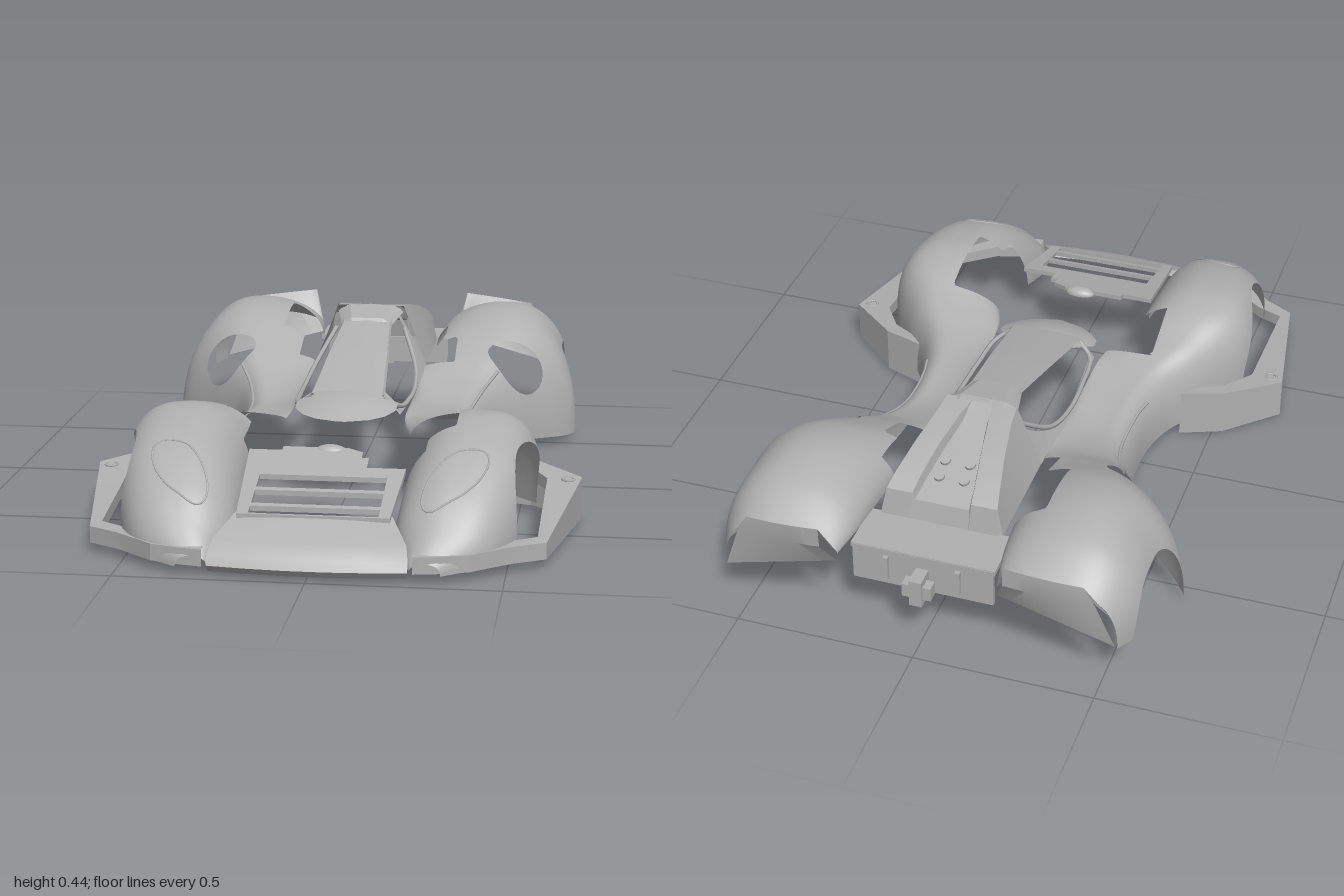
import * as THREE from 'three';
import { mergeVertices, toCreasedNormals } from 'three/addons/utils/BufferGeometryUtils.js';

const bodyGrey = new THREE.MeshStandardMaterial({ color: 0xb0b0b0, side: THREE.DoubleSide });

// Surface through rows of [x, y, z] points
function loft(rows, crease = 0.6) {
  const n = rows[0].length, idx = [];
  for (let i = 0; i < rows.length - 1; i++)
    for (let j = 0; j < n - 1; j++) {
      const a = i * n + j, b = a + n;
      idx.push(a, b, a + 1, b, b + 1, a + 1);
    }
  const g = new THREE.BufferGeometry();
  g.setAttribute('position', new THREE.Float32BufferAttribute(rows.flat(2), 3));
  g.setIndex(idx);
  return toCreasedNormals(g, crease);
}

// Keep only the part of a surface where keep(x, y, z) > 0
function cut(geo, keep) {
  const p = geo.getAttribute('position'), out = [];
  for (let i = 0; i < p.count; i += 3) {
    const tri = [0, 1, 2].map(k => new THREE.Vector3().fromBufferAttribute(p, i + k));
    const val = tri.map(v => keep(v.x, v.y, v.z)), poly = [];
    for (let k = 0; k < 3; k++) {
      const m = (k + 1) % 3;
      if (val[k] > 0) poly.push(tri[k]);
      if (val[k] > 0 !== val[m] > 0) poly.push(tri[k].clone().lerp(tri[m], val[k] / (val[k] - val[m])));
    }
    for (let k = 1; k < poly.length - 1; k++)
      for (const v of [poly[0], poly[k], poly[k + 1]]) out.push(v.x, v.y, v.z);
  }
  const g = new THREE.BufferGeometry();
  g.setAttribute('position', new THREE.Float32BufferAttribute(out, 3));
  const merged = mergeVertices(g, 1e-5);
  merged.computeVertexNormals();
  return merged;
}

// Side shell stations: z, inner x, inner y, crest x, crest y, outer x, bottom y, roundness
const stations = [
  [0.965, 0.26, 0.03, 0.30, 0.05, 0.34, 0.02, 0.8],
  [0.91, 0.24, 0.04, 0.34, 0.12, 0.44, 0.03, 0.8],
  [0.82, 0.21, 0.06, 0.35, 0.205, 0.505, 0.04, 0.75],
  [0.68, 0.21, 0.10, 0.37, 0.285, 0.55, 0.06, 0.7],
  [0.50, 0.22, 0.16, 0.38, 0.325, 0.57, 0.06, 0.65],
  [0.38, 0.22, 0.20, 0.38, 0.315, 0.56, 0.05, 0.65],
  [0.26, 0.18, 0.22, 0.36, 0.265, 0.485, 0.04, 0.75],
  [0.14, 0.165, 0.23, 0.30, 0.225, 0.395, 0.04, 0.8],
  [0.00, 0.165, 0.235, 0.28, 0.205, 0.355, 0.04, 0.85],
  [-0.16, 0.165, 0.24, 0.28, 0.20, 0.36, 0.04, 0.85],
  [-0.30, 0.165, 0.25, 0.31, 0.235, 0.40, 0.04, 0.85],
  [-0.42, 0.17, 0.26, 0.35, 0.30, 0.50, 0.03, 0.9],
  [-0.56, 0.18, 0.27, 0.38, 0.37, 0.62, 0.02, 0.92],
  [-0.70, 0.19, 0.27, 0.39, 0.395, 0.61, 0.06, 0.9],
  [-0.84, 0.20, 0.27, 0.39, 0.372, 0.59, 0.12, 0.85],
  [-0.95, 0.22, 0.26, 0.38, 0.305, 0.545, 0.14, 0.8],
];

function station(s) {
  const n = stations.length - 1, i = Math.min(Math.floor(s), n - 1), t = s - i;
  const at = k => stations[Math.max(0, Math.min(n, k))];
  return at(i).map((b, k) => {
    const a = at(i - 1)[k], c = at(i + 1)[k], d = at(i + 2)[k];
    return b + 0.5 * t * (c - a + t * (2 * a - 5 * b + 4 * c - d + t * (3 * (b - c) + d - a)));
  });
}

// Point on the shell: u runs from inner edge (0) over the crest (0.5) to the sill (1)
function shellPoint(s, u) {
  const [z, xi, yi, xt, yt, xo, yo, round] = station(s);
  if (u < 0.5) {
    const a = u * Math.PI;
    return [xt - (xt - xi) * Math.cos(a), yi + (yt - yi) * Math.sin(a), z];
  }
  const a = (u - 0.5) * Math.PI;
  return [xt + (xo - xt) * Math.pow(Math.sin(a), round), yo + (yt - yo) * Math.pow(Math.max(0, Math.cos(a)), round), z];
}

// Cutouts along the inner edges, as [max x, z from, z to]; they differ per side
const innerCuts = {
  1: [[0.345, 0.31, 0.56], [0.27, 0.56, 0.63], [0.26, -0.5, -0.38], [0.22, -0.62, -0.5]],
  '-1': [[0.31, 0.2, 0.37], [0.24, 0.37, 0.5], [0.285, -0.74, -0.52], [0.22, -0.52, -0.4]],
};

function sideShell(side) {
  const rows = [];
  for (let i = 0; i <= 150; i++) {
    const row = [];
    for (let j = 0; j <= 48; j++) row.push(shellPoint(i / 10, j / 48));
    rows.push(row);
  }
  return cut(loft(rows), (x, y, z) => {
    const frontArch = Math.max(Math.hypot((z - 0.57) / 0.21, (y - 0.06) / 0.21) - 1, 0.41 - x);
    const rearArch = Math.abs((z + 0.74) / 0.16) ** 3 + Math.max(0, (y - 0.06) / 0.205) ** 2 - 1;
    const vent = Math.hypot((x - 0.445) / 0.11, (z + 0.44) / 0.07, (y - 0.25) / 0.09) - 1;
    const inner = innerCuts[side].map(([w, a, b]) => Math.max(x - w, Math.abs(z - (a + b) / 2) - (b - a) / 2));
    return Math.min(frontArch, rearArch, vent, ...inner);
  });
}

function tube(points, r, closed = false) {
  const curve = new THREE.CatmullRomCurve3(points.map(p => new THREE.Vector3(...p)), closed);
  return new THREE.TubeGeometry(curve, 64, r, 6, closed);
}

export function createModel() {
  const model = new THREE.Group();
  const add = (name, geo, parent = model) => {
    const m = new THREE.Mesh(geo, bodyGrey);
    m.name = name;
    parent.add(m);
    return m;
  };
  const lerp = THREE.MathUtils.lerp;

  for (const side of [1, -1]) {
    const half = new THREE.Group();
    half.name = side > 0 ? 'leftSide' : 'rightSide';
    half.scale.x = side;
    model.add(half);
    add('fenderShell', sideShell(side), half);

    // Headlight outline on the front fender
    const ring = [];
    for (let i = 0; i < 24; i++) {
      const t = i / 24 * Math.PI * 2;
      ring.push(shellPoint(2.25 + 0.7 * Math.cos(t), 0.47 + 0.12 * Math.sin(t) + 0.07 * Math.cos(t)));
    }
    add('headlightRim', tube(ring, 0.003, true), half);

    // Crease along the side pod
    add('sideCrease', tube([7.6, 8, 8.6, 9.2, 10, 10.6].map((s, i) => shellPoint(s, 0.72 - i * 0.015)), 0.005), half);

    // Front corner bumper: outer x, z and inner x, z
    const rail = [[0.27, 0.972, 0.27, 0.92], [0.34, 0.958, 0.33, 0.90], [0.41, 0.935, 0.40, 0.88], [0.47, 0.885, 0.45, 0.84],
      [0.52, 0.845, 0.50, 0.80], [0.6, 0.8, 0.575, 0.765], [0.675, 0.35, 0.58, 0.365], [0.53, 0.22, 0.52, 0.27], [0.41, 0.175, 0.41, 0.2]];
    add('cornerBumper', loft(rail.map(([xo, zo, xi, zi]) => {
      const top = z => 0.07 + Math.max(0, 0.8 - z) * 0.12, low = 0.025 - Math.max(0, 0.8 - zo) * 0.04;
      return [[xi, top(zi) - 0.035, zi], [xi, top(zi), zi], [xo, top(zo), zo], [xo, Math.max(0, low), zo]];
    }), 0.3), half);
    const eye = add('bumperEyelet', new THREE.TorusGeometry(0.016, 0.004, 6, 20), half);
    eye.rotation.x = Math.PI / 2;
    eye.position.set(0.638, 0.122, 0.37);

    // Upswept tail flap growing out of the shell end, with its back panel
    const spans = [0, 0.125, 0.25, 0.375, 0.5, 0.625, 0.75, 0.875, 1];
    const flap = [[0.25, 0.37, 0.46, 0.345, -0.998], [0.25, 0.31, 0.49, 0.29, -0.995], [0.22, 0.24, 0.54, 0.15, -0.955]];
    add('tailFlap', loft([spans.map(t => shellPoint(15, 0.02 + 0.8 * t)), ...flap.map(([xa, ya, xb, yb, z]) =>
      spans.map(t => [lerp(xa, xb, t), lerp(ya, yb, t), z + (z < -0.99 ? 0.02 * t * t : 0)]))], 0.4), half);

    // Canopy window sill
    add('windowSill', tube([[0.1, 0.285, 0.15], [0.145, 0.255, 0.12], [0.16, 0.245, 0], [0.163, 0.25, -0.15],
      [0.15, 0.285, -0.28], [0.105, 0.37, -0.4]], 0.007), half);
  }

  // Nose
  const noseProfile = [[0.985, 0.012, 0.255], [0.998, 0.03, 0.258], [0.985, 0.055, 0.258], [0.94, 0.085, 0.25], [0.84, 0.132, 0.205]];
  add('nose', loft(noseProfile.map(([z, y, w]) => [-1, -0.6, -0.2, 0.2, 0.6, 1].map(t => [t * w, y, z - 0.3 * (t * w) ** 2]))));

  // Louvred front panel with a stepped rear edge
  const panel = new THREE.Shape([[-0.2, 0.85], [0.2, 0.85], [0.215, 0.6], [0.11, 0.6], [0.11, 0.55], [0.09, 0.55], [0.09, 0.52],
    [0.05, 0.5], [-0.13, 0.5], [-0.13, 0.52], [-0.22, 0.52]].map(p => new THREE.Vector2(...p)));
  for (const [a, b] of [[0.65, 0.715], [0.73, 0.795], [0.81, 0.845]])
    panel.holes.push(new THREE.Path([[-0.17, a], [-0.17, b], [0.17, b], [0.17, a]].map(p => new THREE.Vector2(...p))));
  const panelGeo = new THREE.ExtrudeGeometry(panel, { depth: 0.014, bevelEnabled: false });
  const pp = panelGeo.getAttribute('position');
  for (let i = 0; i < pp.count; i++) {
    const v = pp.getY(i);
    pp.setXYZ(i, pp.getX(i), 0.12 + (0.85 - v) * 0.26 + pp.getZ(i), v);
  }
  panelGeo.computeVertexNormals();
  add('louvrePanel', panelGeo);
  const dome = add('panelDome', new THREE.SphereGeometry(0.045, 20, 8, 0, Math.PI * 2, 0, Math.PI / 2));
  dome.scale.set(1, 0.45, 0.55);
  dome.position.set(0, 0.213, 0.498);

  // Cowl ahead of the canopy
  const cowl = [[0.1, 0.1, 0.305], [0.16, 0.145, 0.298], [0.2, 0.142, 0.288], [0.24, 0.115, 0.27], [0.27, 0.075, 0.255], [0.29, 0.01, 0.245]];
  add('cowl', loft(cowl.map(([z, w, y]) => [-1, -0.66, -0.33, 0, 0.33, 0.66, 1].map(t => [t * w, y - 1.5 * (t * w) ** 2, z]))));

  // Canopy with cut side windows: z, base x, base y, roof x, roof y
  const frames = [[0.15, 0.15, 0.235, 0.1, 0.295], [-0.1, 0.168, 0.235, 0.085, 0.36], [-0.3, 0.17, 0.25, 0.07, 0.407], [-0.42, 0.17, 0.26, 0.075, 0.435]];
  const canopyRows = [];
  const frameAt = z => {
    const i = z > -0.1 ? 0 : z > -0.3 ? 1 : 2, a = frames[i], b = frames[i + 1];
    return a.map((v, k) => lerp(v, b[k], (a[0] - z) / (a[0] - b[0])));
  };
  for (let i = 0; i <= 38; i++) {
    const [z, xb, yb, xr, yr] = frameAt(0.15 - i * 0.015), wall = [];
    for (let j = 0; j <= 16; j++) wall.push([lerp(xb, xr, j / 16), lerp(yb, yr, j / 16), z]);
    canopyRows.push([...wall, [0, yr + 0.006, z], ...wall.slice().reverse().map(([x, y]) => [-x, y, z])]);
  }
  add('canopy', toCreasedNormals(cut(loft(canopyRows), (x, y, z) => {
    const sill = 0.247 + 1.7 * Math.max(0, -0.15 - z) ** 2;
    return Math.max(sill - y, y - frameAt(z)[4] + 0.008, Math.abs(z + 0.13) - 0.265);
  }), 0.5));

  // Roof scoop
  add('roofScoop', loft([[-0.3, 0.065, 0.4, 0.41], [-0.305, 0.066, 0.4, 0.42], [-0.41, 0.09, 0.42, 0.44], [-0.43, 0.088, 0.41, 0.438]]
    .map(([z, w, lo, hi]) => [[-w - 0.01, lo, z], [-w, hi - 0.012, z], [-w * 0.7, hi, z], [w * 0.7, hi, z], [w, hi - 0.012, z], [w + 0.01, lo, z]]), 0.2));

  // Engine cover: two buttresses with a sunken plate between
  const cover = [[-0.42, 0.17, 0.1, 0.035, 0.436, 0.434], [-0.48, 0.17, 0.105, 0.04, 0.428, 0.405], [-0.6, 0.17, 0.125, 0.06, 0.405, 0.375],
    [-0.7, 0.17, 0.145, 0.076, 0.37, 0.34], [-0.75, 0.17, 0.155, 0.082, 0.345, 0.325], [-0.765, 0.17, 0.16, 0.085, 0.265, 0.265]];
  add('engineCover', loft(cover.map(([z, xb, xo, xi, top, low]) => {
    const h = [[xb, 0.262, z], [xo, top, z], [xi, top, z], [xi - 0.006, low, z]];
    return [...h, ...h.slice().reverse().map(([x, y]) => [-x, y, z])];
  }), 0.3));
  for (const x of [-0.035, 0.035])
    for (const z of [-0.62, -0.67]) {
      const pad = add('coverStud', new THREE.CylinderGeometry(0.015, 0.015, 0.014, 20));
      pad.position.set(x, 0.37 - (-0.62 - z) * 0.35, z);
      pad.rotation.x = -0.32;
    }

  // Rear deck, tail panel and coupling
  const box = (name, w, h, d, x, y, z) => add(name, new THREE.BoxGeometry(w, h, d)).position.set(x, y, z);
  box('rearDeck', 0.4, 0.014, 0.15, 0, 0.262, -0.83);
  box('tailPanel', 0.39, 0.11, 0.014, 0, 0.212, -0.9);
  for (const x of [-0.1, 0.1]) box('tailRib', 0.014, 0.07, 0.02, x, 0.215, -0.91);
  box('coupling', 0.035, 0.08, 0.07, 0, 0.19, -0.93);
  box('couplingHead', 0.08, 0.04, 0.035, 0, 0.19, -0.94);
  return model;
}
